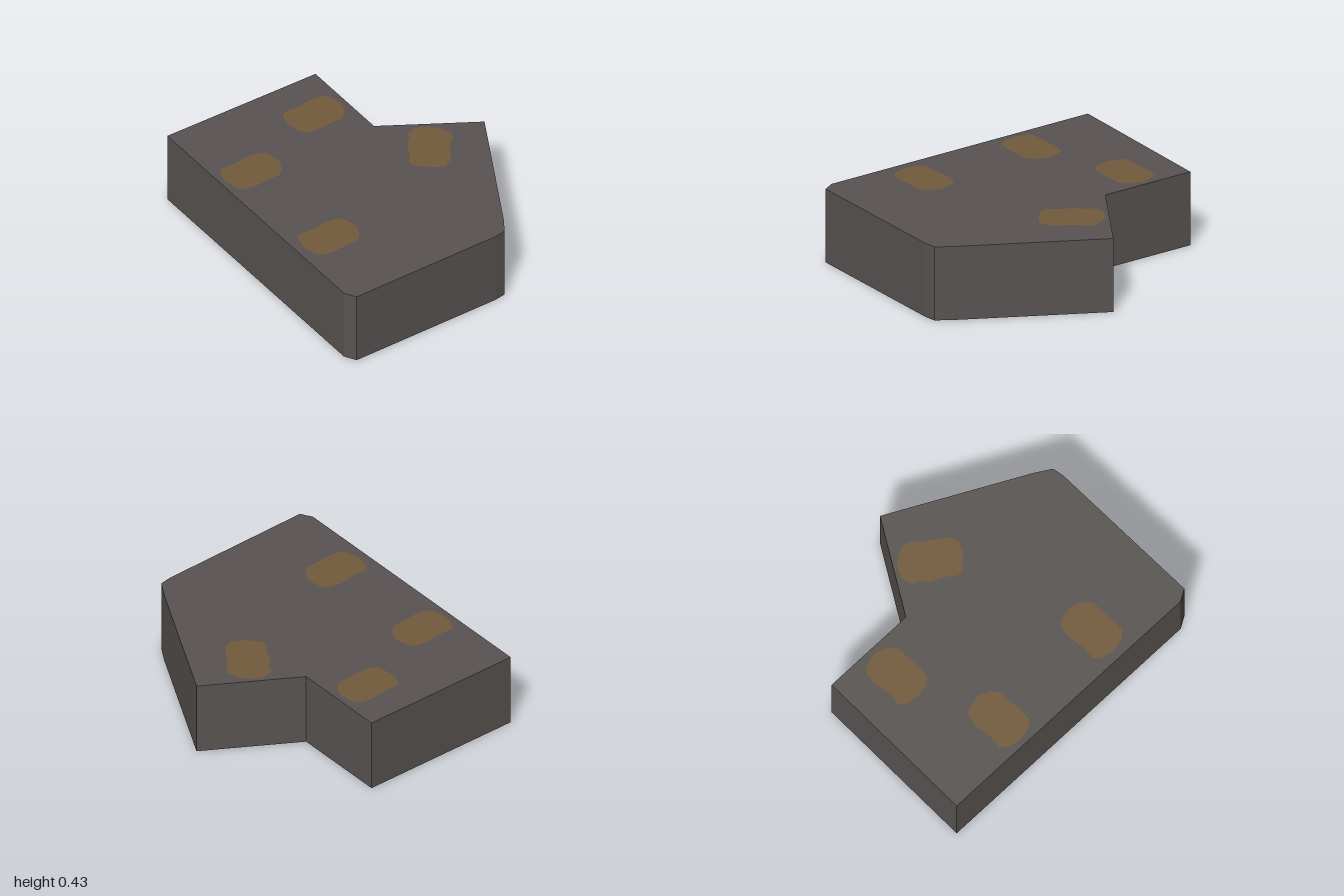
import * as THREE from 'three';

const HEIGHT = 0.43;

// Ground plan of the slab as [x, z], clockwise seen from above
const OUTLINE = [
  [-1, -0.015], [-0.505, -0.845], [-0.027, -0.56], [0.497, -0.845], [0.95, -0.11],
  [1, -0.015], [0.975, 0.05], [0.52, 0.845], [0.445, 0.845],
];

// Worn patch outlines as [x, z] around their own centres
const PATCH_A = [
  [-0.02, -0.17], [0.025, -0.17], [0.095, -0.145], [0.14, -0.085], [0.15, -0.03], [0.115, 0.025],
  [0.08, 0.1], [0.035, 0.16], [-0.01, 0.17], [-0.09, 0.14], [-0.15, 0.085], [-0.155, 0.045],
  [-0.115, -0.01], [-0.07, -0.115],
];
const PATCH_B = [
  [-0.08, -0.17], [0, -0.177], [0.05, -0.167], [0.078, -0.135], [0.088, -0.075], [0.12, -0.015],
  [0.152, 0.055], [0.147, 0.115], [0.083, 0.155], [-0.015, 0.178], [-0.045, 0.16], [-0.072, 0.095],
  [-0.12, 0.025], [-0.13, -0.03], [-0.157, -0.065], [-0.142, -0.125],
];
const PATCHES = [
  [PATCH_A, -0.36, -0.52], [PATCH_B, 0.322, -0.513], [PATCH_A, -0.458, 0.075], [PATCH_A, 0.165, 0.425],
];

const stone = new THREE.MeshStandardMaterial({ color: 0x595452 });
stone.name = 'dark stone';
const rust = new THREE.MeshStandardMaterial({ color: 0x735b3d });
rust.name = 'brown patch';
stone.side = rust.side = THREE.DoubleSide;

// Plan points to shape points, offset by (cx, cz)
const toPoints = (plan, cx = 0, cz = 0) => plan.map(([x, z]) => new THREE.Vector2(x + cx, -z - cz));

// Flat horizontal face at the top of the slab
function topFace(shape, material, name) {
  const geometry = new THREE.ShapeGeometry(shape).rotateX(-Math.PI / 2).translate(0, HEIGHT, 0);
  const mesh = new THREE.Mesh(geometry, material);
  mesh.name = name;
  return mesh;
}

export function createModel() {
  const model = new THREE.Group();
  model.name = 'slab';

  // Top, with the patches set flush into it
  const top = new THREE.Shape(toPoints(OUTLINE));
  PATCHES.forEach(([plan, cx, cz], i) => {
    const points = toPoints(plan, cx, cz);
    top.holes.push(new THREE.Path(points));
    model.add(topFace(new THREE.Shape(points), rust, `patch${i + 1}`));
  });
  model.add(topFace(top, stone, 'top'));

  // Side walls, one panel per edge; the underside is open
  const walls = new THREE.Group();
  walls.name = 'walls';
  OUTLINE.forEach(([x0, z0], i) => {
    const [x1, z1] = OUTLINE[(i + 1) % OUTLINE.length];
    const dx = x1 - x0, dz = z1 - z0;
    const wall = new THREE.Mesh(new THREE.PlaneGeometry(Math.hypot(dx, dz), HEIGHT), stone);
    wall.position.set((x0 + x1) / 2, HEIGHT / 2, (z0 + z1) / 2);
    wall.rotation.y = Math.atan2(dz, -dx); // outward normal (dz, 0, -dx)
    wall.name = `wall${i + 1}`;
    walls.add(wall);
  });
  model.add(walls);

  return model;
}
